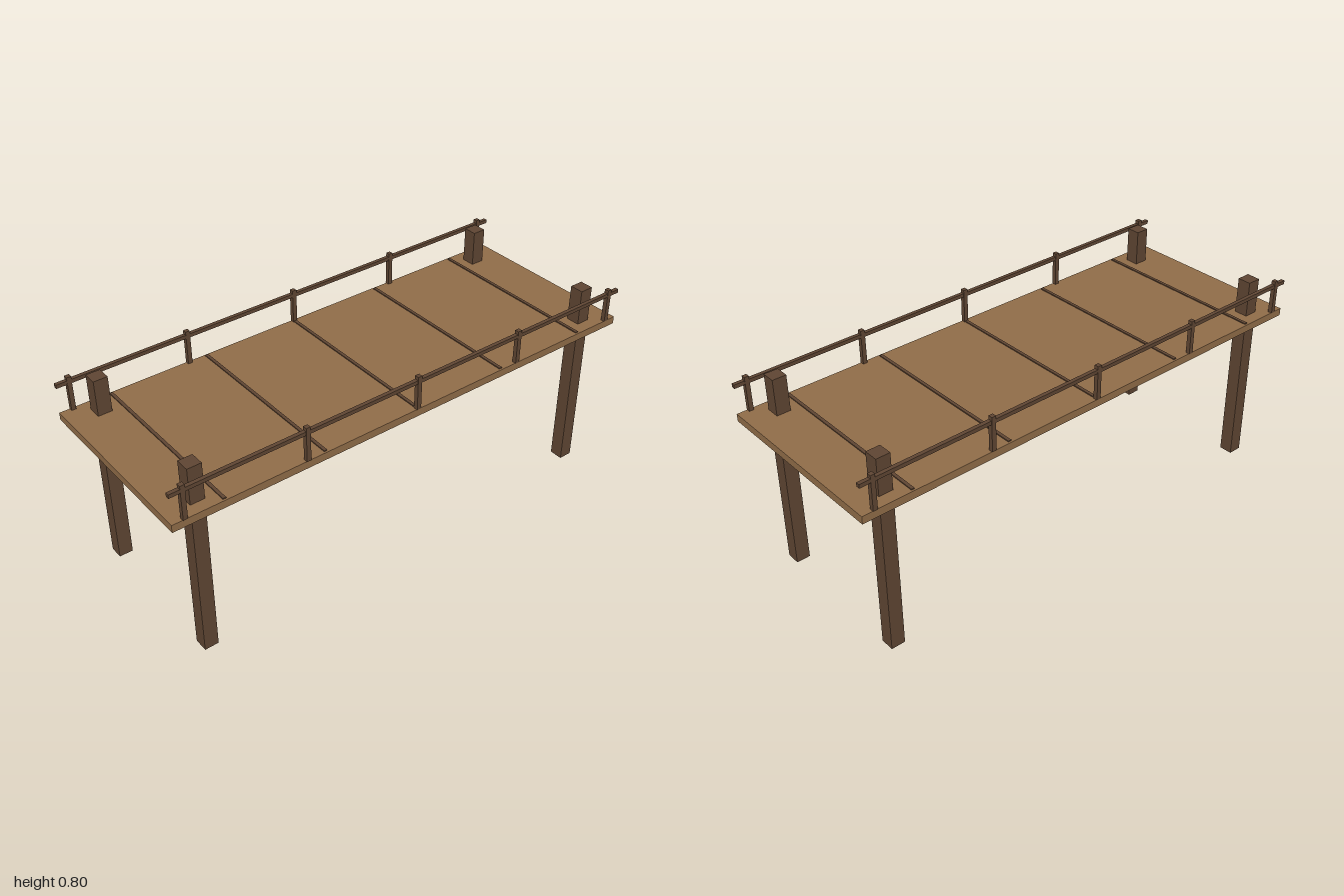
import * as THREE from 'three';

export function createModel() {
  const model = new THREE.Group();
  model.name = 'woodenPier';

  const deckWood = new THREE.MeshStandardMaterial({ color: 0x916d49 });
  deckWood.name = 'deckWood';
  const darkWood = new THREE.MeshStandardMaterial({ color: 0x5f4633 });
  darkWood.name = 'darkWood';

  // Box standing on the height y0
  function addBox(name, material, w, h, d, x, y0, z) {
    const mesh = new THREE.Mesh(new THREE.BoxGeometry(w, h, d), material);
    mesh.name = name;
    mesh.position.set(x, y0 + h / 2, z);
    model.add(mesh);
  }

  const deckBottom = 0.626;
  const deckTop = 0.656;

  // Deck slab
  addBox('deck', deckWood, 0.75, deckTop - deckBottom, 2, 0, deckBottom, 0);

  // Dark strips across the deck
  for (const z of [-0.8, -0.4, 0, 0.4, 0.8]) {
    addBox('plankStrip', darkWood, 0.735, 0.006, 0.0125, 0, deckTop - 0.002, z);
  }

  for (const side of [-1, 1]) {
    // Support piles pass up through the deck
    for (const z of [-0.875, 0.875]) {
      addBox('supportPile', darkWood, 0.055, 0.8, 0.055, side * 0.3, 0, z);
    }

    // Railing: short posts and one long rail
    for (const z of [-0.95, -0.475, 0, 0.475, 0.95]) {
      addBox('railPost', darkWood, 0.0175, 0.793 - deckTop, 0.0175, side * 0.369, deckTop, z);
    }
    addBox('handrail', darkWood, 0.015, 0.015, 2, side * 0.369, 0.7645, 0);
  }

  return model;
}
